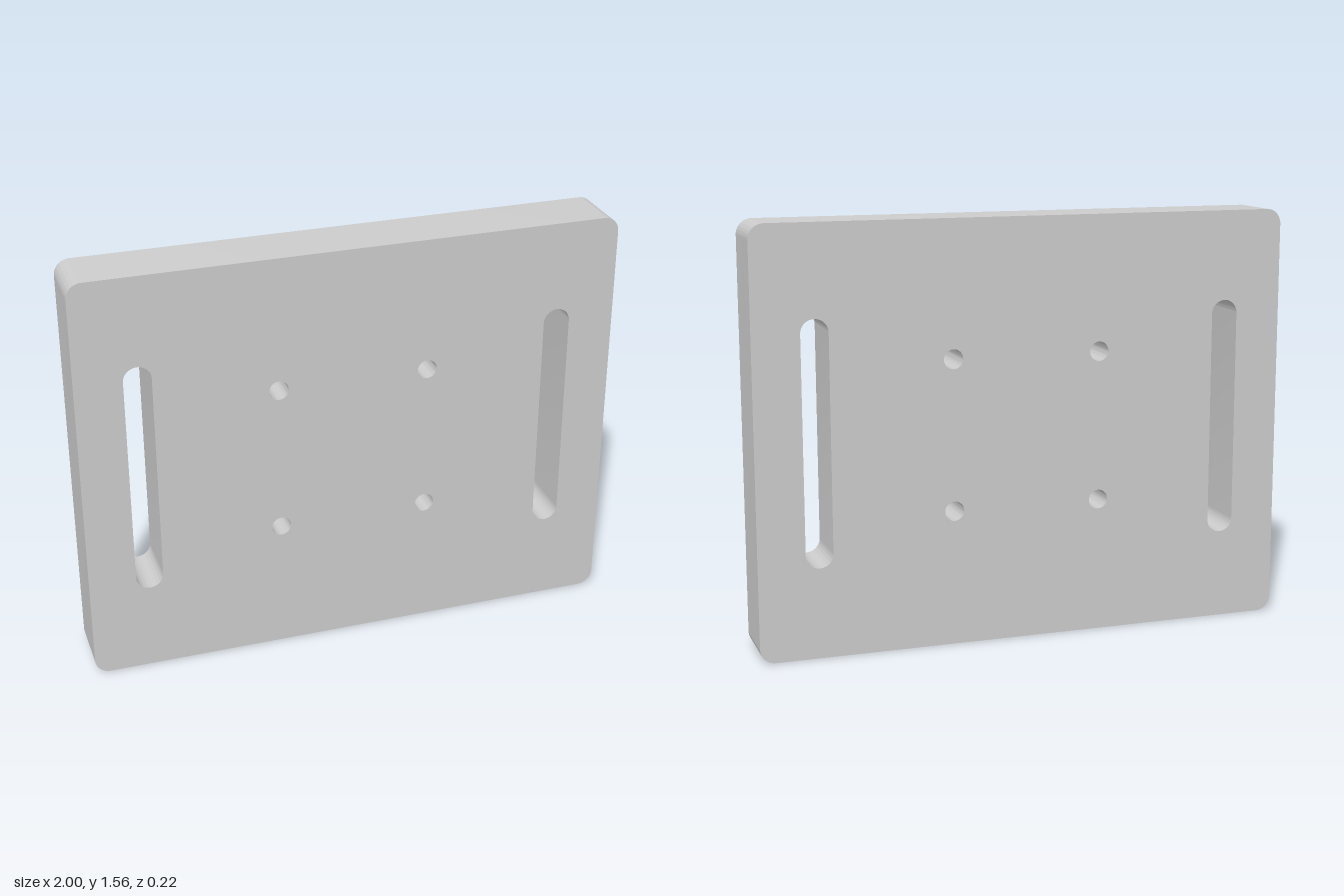
import * as THREE from 'three';
import { toCreasedNormals } from 'three/addons/utils/BufferGeometryUtils.js';

const WIDTH = 2, HEIGHT = 1.556, DEPTH = 0.222, CORNER = 0.056;
const SLOT = { x: 0.778, width: 0.1, height: 0.89 };
const HOLE = { offset: 0.278, radius: 0.036 };

// Rounded rectangle centred on (cx, cy); a radius of half the width gives a slot
function roundedRect(path, cx, cy, w, h, r) {
  const x = w / 2 - r, y = h / 2 - r;
  path.moveTo(cx + x + r, cy - y);
  path.absarc(cx + x, cy + y, r, 0, Math.PI / 2);
  path.absarc(cx - x, cy + y, r, Math.PI / 2, Math.PI);
  path.absarc(cx - x, cy - y, r, Math.PI, Math.PI * 1.5);
  path.absarc(cx + x, cy - y, r, Math.PI * 1.5, Math.PI * 2);
  path.closePath();
  return path;
}

export function createModel() {
  const group = new THREE.Group();
  group.name = 'mountingPlate';
  const midY = HEIGHT / 2;

  // Plate outline
  const outline = roundedRect(new THREE.Shape(), 0, midY, WIDTH, HEIGHT, CORNER);

  for (const side of [-1, 1]) {
    // Long adjustment slot on each side
    outline.holes.push(
      roundedRect(new THREE.Path(), side * SLOT.x, midY, SLOT.width, SLOT.height, SLOT.width / 2));
    // Upper and lower bolt holes
    for (const level of [-1, 1]) {
      outline.holes.push(new THREE.Path().absarc(
        side * HOLE.offset, midY + level * HOLE.offset, HOLE.radius, 0, Math.PI * 2));
    }
  }

  const geometry = new THREE.ExtrudeGeometry(outline, {
    depth: DEPTH, bevelEnabled: false, curveSegments: 16,
  });
  geometry.translate(0, 0, -DEPTH / 2);

  const plate = new THREE.Mesh(
    toCreasedNormals(geometry, Math.PI / 6),
    new THREE.MeshStandardMaterial({ color: 0xcccccc }));
  plate.name = 'plate';
  group.add(plate);
  return group;
}
